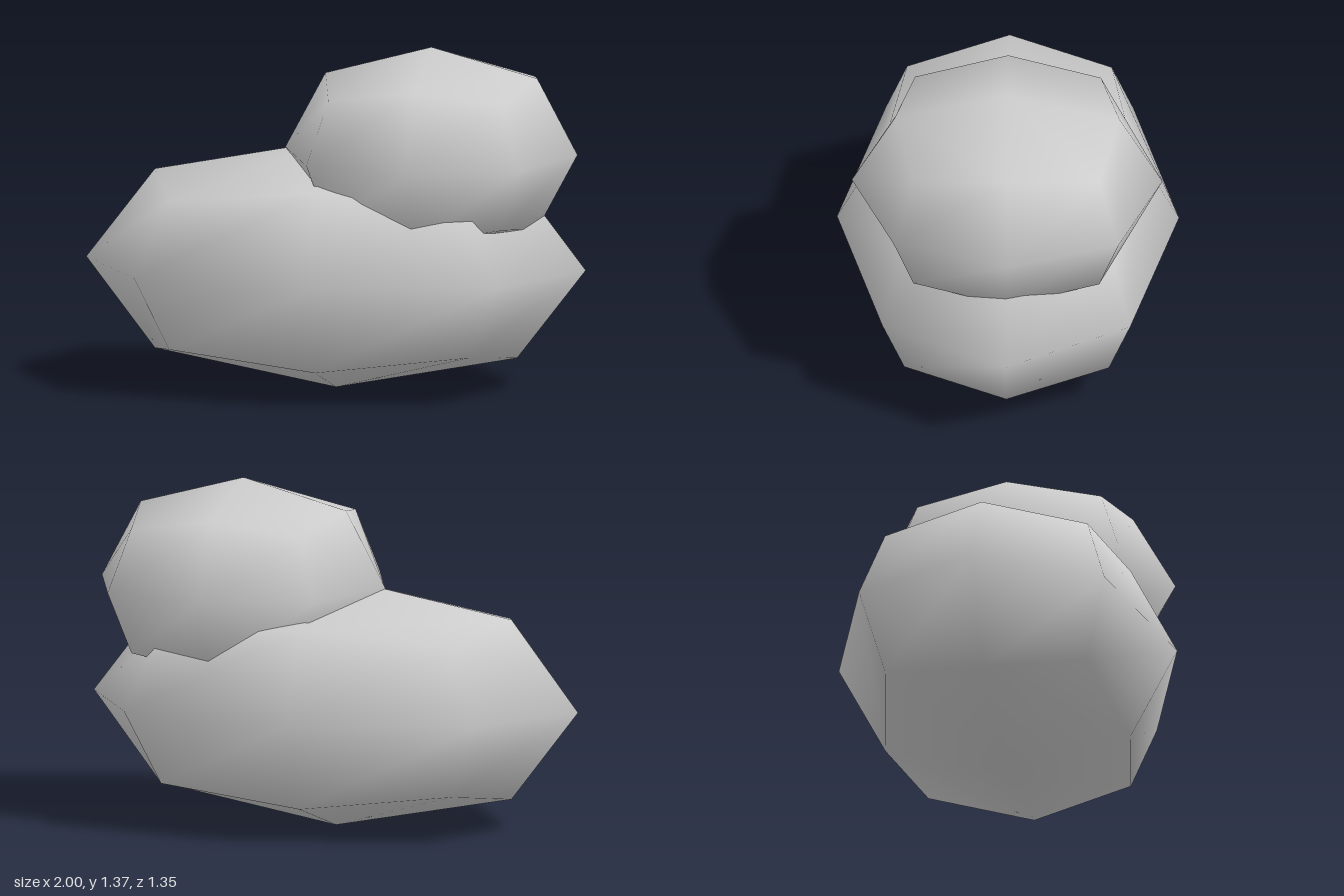
import * as THREE from 'three';
import { mergeVertices } from 'three/addons/utils/BufferGeometryUtils.js';

const stone = new THREE.MeshStandardMaterial({ color: 0xcccccc });
stone.name = 'stone grey';

// Low-poly ball: a cube split 2 x 2 per face and rounded, then stretched to the radii
function makeBoulder(name, radii, centre) {
  let geometry = new THREE.BoxGeometry(2, 2, 2, 2, 2, 2);
  geometry.deleteAttribute('normal');
  geometry.deleteAttribute('uv');
  geometry = mergeVertices(geometry);

  // Face centres stay at 1; edge middles and corners are pulled in
  const pull = { 1: 1, 2: 0.725, 3: 0.598 };
  const position = geometry.attributes.position;
  const v = new THREE.Vector3();
  for (let i = 0; i < position.count; i++) {
    v.fromBufferAttribute(position, i);
    const sides = Math.round(Math.abs(v.x) + Math.abs(v.y) + Math.abs(v.z));
    v.multiplyScalar(pull[sides]);
    position.setXYZ(i, v.x * radii[0], v.y * radii[1], v.z * radii[2]);
  }
  geometry.computeVertexNormals();

  const mesh = new THREE.Mesh(geometry, stone);
  mesh.name = name;
  mesh.position.set(...centre);
  return mesh;
}

export function createModel() {
  const group = new THREE.Group();
  group.name = 'stackedBoulders';
  group.add(
    makeBoulder('lowerBoulder', [1, 0.495, 0.675], [0, 0.495, 0]),
    makeBoulder('upperBoulder', [0.585, 0.415, 0.613], [0.382, 0.956, 0])
  );
  return group;
}
